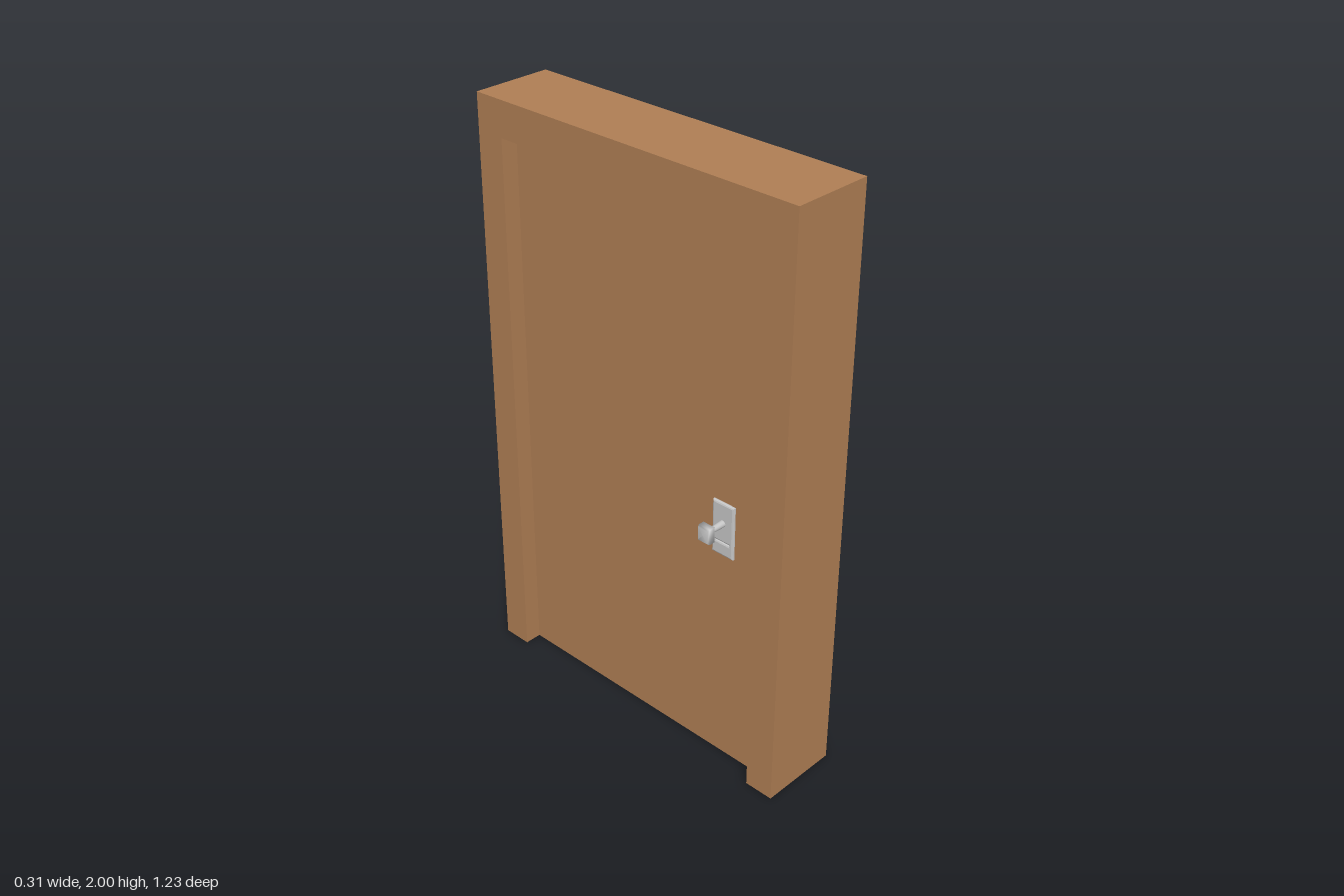
import * as THREE from 'three';

const wood = new THREE.MeshStandardMaterial({ color: 0xb07f55, side: THREE.DoubleSide });
wood.name = 'wood';
const metal = new THREE.MeshStandardMaterial({ color: 0xc6c6c6, side: THREE.DoubleSide });
metal.name = 'brushed metal';

const HEIGHT = 2, HALF = 0.617;             // outer frame
const OPEN_HEIGHT = 1.881, OPEN_HALF = 0.516; // doorway
const FRAME_BACK = -0.119, FRAME_FRONT = 0.157;
const DOOR_BACK = -0.06, DOOR_FRONT = 0.008;
const HANDLE_Y = 0.889, HANDLE_Z = 0.3455;

function mesh(name, geometry, material) {
  const m = new THREE.Mesh(geometry, material);
  m.name = name;
  return m;
}

// Drops the faces that lie flat on the ground, leaving the jambs hollow below
function openBottom(geometry) {
  const p = geometry.attributes.position, kept = [];
  for (let i = 0; i < p.count; i += 3) {
    const top = Math.max(p.getY(i), p.getY(i + 1), p.getY(i + 2));
    if (top > 1e-4) kept.push(i, i + 1, i + 2);
  }
  geometry.setIndex(kept);
  geometry.clearGroups();
  return geometry;
}

// Extrudes an outline drawn in (z, y) along +x
function extrudeAlongX(shape, options) {
  return new THREE.ExtrudeGeometry(shape, { bevelEnabled: false, ...options }).rotateY(Math.PI / 2);
}

function createFrame() {
  const outline = new THREE.Shape([
    [-HALF, 0], [-OPEN_HALF, 0], [-OPEN_HALF, OPEN_HEIGHT], [OPEN_HALF, OPEN_HEIGHT],
    [OPEN_HALF, 0], [HALF, 0], [HALF, HEIGHT], [-HALF, HEIGHT],
  ].map(([z, y]) => new THREE.Vector2(z, y)));
  const geometry = extrudeAlongX(outline, { depth: FRAME_FRONT - FRAME_BACK });
  geometry.translate(FRAME_BACK, 0, 0);
  return mesh('doorFrame', openBottom(geometry), wood);
}

function createDoor() {
  const geometry = new THREE.BoxGeometry(DOOR_FRONT - DOOR_BACK, OPEN_HEIGHT, OPEN_HALF * 2);
  geometry.translate((DOOR_FRONT + DOOR_BACK) / 2, OPEN_HEIGHT / 2, 0);
  return mesh('doorPanel', geometry, wood);
}

// Plate and knob, standing out from the door along +x
function createHandle(name) {
  const handle = new THREE.Group();
  handle.name = name;

  // Bevelled plate with a narrow slot near its lower end
  const rect = (path, w, y0, y1) =>
    path.moveTo(-w, y0).lineTo(w, y0).lineTo(w, y1).lineTo(-w, y1).closePath();
  const b = 0.006;
  const plate = rect(new THREE.Shape(), 0.042 - b, -0.116 + b, 0.07 - b);
  plate.holes.push(rect(new THREE.Path(), 0.032, -0.076, -0.062));
  const plateGeometry = extrudeAlongX(plate, {
    depth: 0.004, bevelEnabled: true, bevelSize: b, bevelThickness: b, bevelSegments: 2,
  });
  handle.add(mesh('handlePlate', plateGeometry, metal));

  // Round neck
  const neck = new THREE.CylinderGeometry(0.009, 0.012, 0.064, 16);
  neck.rotateZ(-Math.PI / 2).translate(0.032, 0, 0);
  handle.add(mesh('knobNeck', neck, metal));

  // Squared knob: tapered behind, softened at the outer edge
  const profile = [[0, 0.056], [0.25, 0.057], [1, 0.07], [1, 0.091], [0.85, 0.097], [0, 0.098]]
    .map(([r, y]) => new THREE.Vector2(r * Math.SQRT2, y));
  const knob = new THREE.LatheGeometry(profile, 4, Math.PI / 4);
  knob.rotateZ(-Math.PI / 2).scale(1, 0.0265, 0.0225);
  knob.computeVertexNormals();
  handle.add(mesh('knob', knob, metal));
  return handle;
}

export function createModel() {
  const model = new THREE.Group();
  model.name = 'door';
  model.add(createFrame(), createDoor());

  // One handle on each face of the door
  const leftHandle = createHandle('leftHandle');
  leftHandle.position.set(DOOR_FRONT, HANDLE_Y, HANDLE_Z);
  const rightHandle = createHandle('rightHandle');
  rightHandle.position.set(DOOR_BACK, HANDLE_Y, HANDLE_Z);
  rightHandle.rotation.y = Math.PI;
  model.add(leftHandle, rightHandle);
  return model;
}
